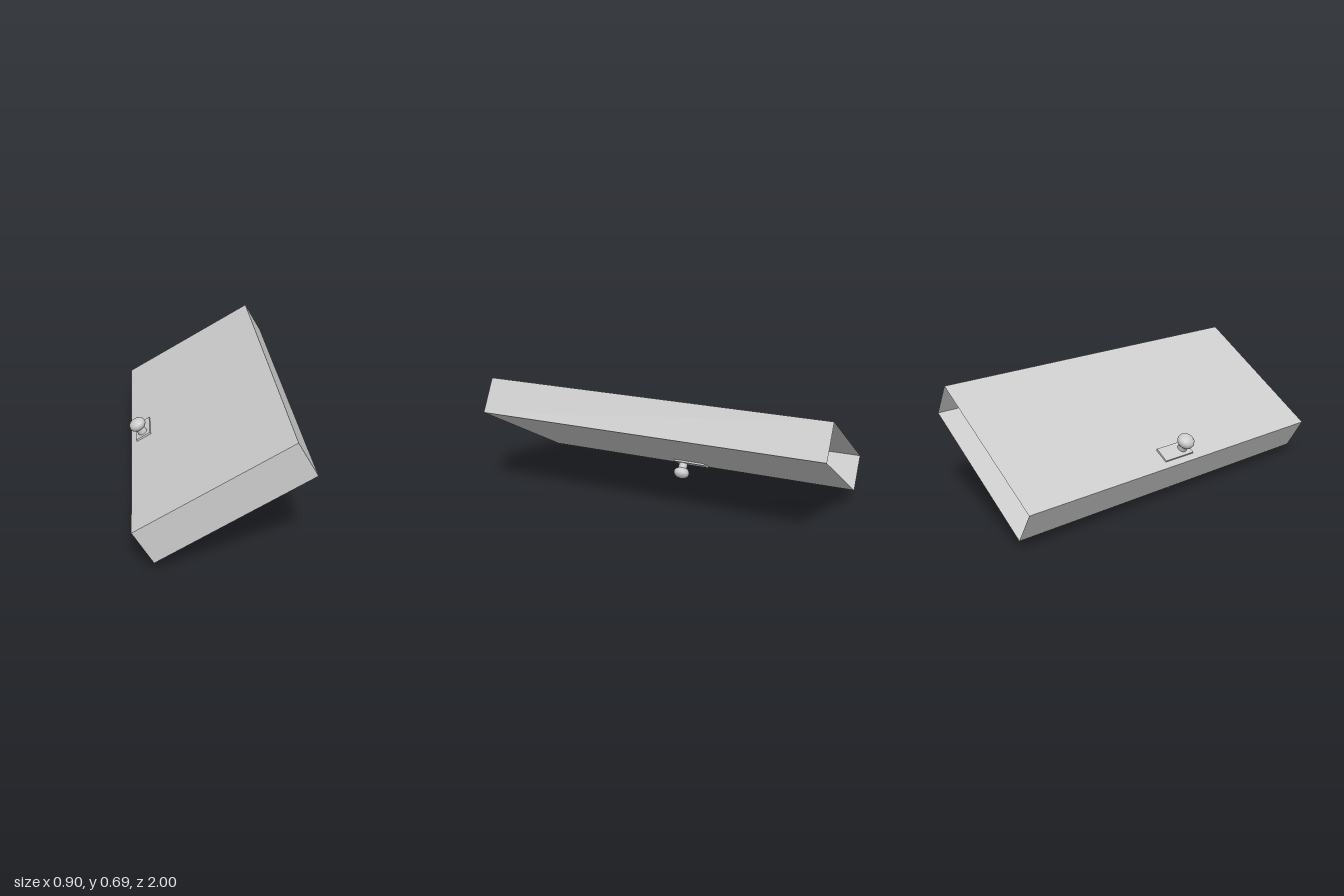
import * as THREE from 'three';

const THICK = 0.208, LENGTH = 0.906, DEPTH = 2;

export function createModel() {
  const model = new THREE.Group();
  model.name = 'door';
  const grey = new THREE.MeshStandardMaterial({ color: 0xcccccc });
  const thin = new THREE.MeshStandardMaterial({ color: 0xcccccc, side: THREE.DoubleSide });

  const add = (parent, name, geometry, material, x, y, z) => {
    const mesh = new THREE.Mesh(geometry, material);
    mesh.name = name;
    mesh.position.set(x, y, z);
    parent.add(mesh);
    return mesh;
  };

  // Everything is built flat, then the whole door is tilted
  const door = new THREE.Group();
  door.name = 'tiltedDoor';
  door.position.set(0.0035, 0.3775, 0);
  door.rotation.z = Math.PI / 6;
  model.add(door);

  // Hollow slab of thin panels, open at the back end
  const panel = (name, w, h, x, y, z, rx, ry) =>
    add(door, name, new THREE.PlaneGeometry(w, h), thin, x, y, z).rotation.set(rx, ry, 0);
  const q = Math.PI / 2;
  panel('upperPanel', LENGTH, DEPTH, 0, THICK / 2, 0, -q, 0);
  panel('lowerPanel', LENGTH, DEPTH, 0, -THICK / 2, 0, q, 0);
  panel('leftEdge', DEPTH, THICK, LENGTH / 2, 0, 0, 0, q);
  panel('rightEdge', DEPTH, THICK, -LENGTH / 2, 0, 0, 0, -q);
  panel('frontEdge', LENGTH, THICK, 0, 0, DEPTH / 2, 0, 0);

  // One handle on each face
  for (const side of ['upper', 'lower']) {
    const handle = new THREE.Group();
    handle.name = side + 'Handle';
    handle.position.x = -0.368;
    if (side === 'lower') handle.rotation.x = Math.PI;
    const z = side === 'lower' ? -0.05 : 0.05;
    add(handle, 'backPlate', new THREE.BoxGeometry(0.091, 0.012, 0.2), grey, 0, THICK / 2 + 0.005, 0);
    add(handle, 'shank', new THREE.CylinderGeometry(0.027, 0.027, 0.06, 16), grey, 0, 0.135, z);
    const knob = new THREE.SphereGeometry(0.05, 12, 8).scale(1, 0.72, 1);
    add(handle, 'knob', knob, grey, 0, 0.175, z);
    door.add(handle);
  }
  return model;
}
